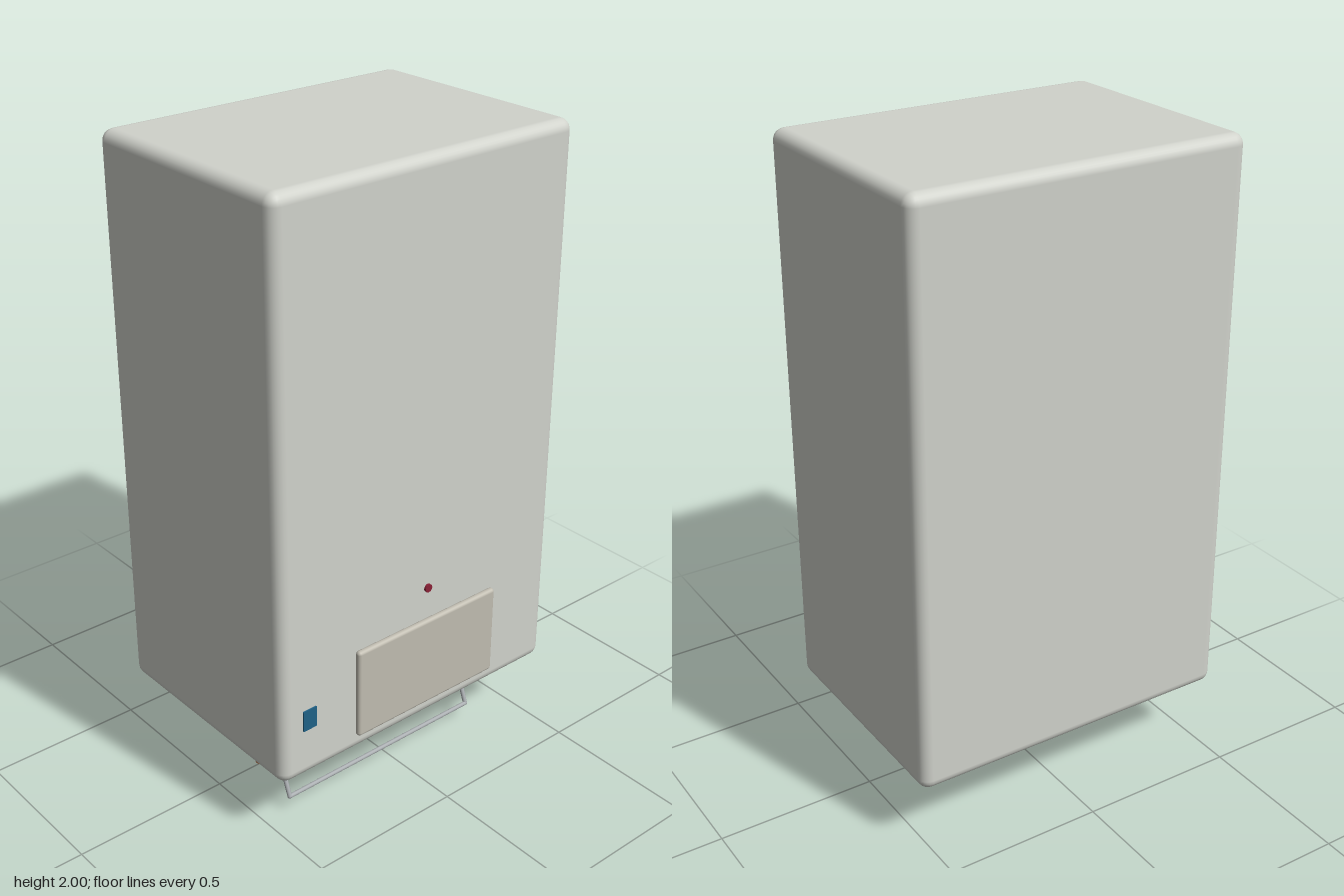
import * as THREE from 'three';
import { RoundedBoxGeometry } from 'three/addons/geometries/RoundedBoxGeometry.js';

const mat = (color) => new THREE.MeshStandardMaterial({ color });

export function createModel() {
  const group = new THREE.Group();
  const white = mat(0xd0d2cb), beige = mat(0xc0bcb0), copper = mat(0xb87348);
  const steel = mat(0xa9adb0), blue = mat(0x1f6187), red = mat(0x8a2036);

  const add = (name, geometry, material, x, y, z, parent = group) => {
    const mesh = new THREE.Mesh(geometry, material);
    mesh.name = name;
    mesh.position.set(x, y, z);
    parent.add(mesh);
    return mesh;
  };

  // Casing with softly rounded edges
  add('casing', new RoundedBoxGeometry(1.064, 1.775, 0.764, 3, 0.035), white, 0, 1.1125, -0.017);

  // Front details, standing slightly proud of the casing
  add('controlPanel', new RoundedBoxGeometry(0.544, 0.296, 0.022, 3, 0.0105), beige, 0, 0.447, 0.388);
  add('badge', new THREE.BoxGeometry(0.048, 0.068, 0.004), blue, -0.437, 0.433, 0.375);
  add('indicatorLight', new THREE.CylinderGeometry(0.013, 0.013, 0.007, 20), red, 0, 0.702, 0.389)
    .rotation.x = Math.PI / 2;

  // Copper pipes with union nuts
  const pipeGeo = new THREE.CylinderGeometry(0.019, 0.019, 0.2, 24);
  const nutGeo = new THREE.LatheGeometry([
    [0, -0.025], [0.028, -0.025], [0.028, -0.025], [0.034, -0.019], [0.034, -0.019],
    [0.034, 0.019], [0.034, 0.019], [0.028, 0.025], [0.028, 0.025], [0, 0.025],
  ].map(([x, y]) => new THREE.Vector2(x, y)), 24);
  [-0.33, -0.166, 0.079, 0.27].forEach((x) => {
    const pipe = new THREE.Group();
    pipe.name = 'pipe';
    group.add(pipe);
    add('pipeTube', pipeGeo, copper, x, 0.1, -0.007, pipe);
    add('pipeNut', nutGeo, steel, x, 0.095, -0.007, pipe);
  });

  // Tilted wire bracket under the casing
  const bracket = new THREE.Group();
  bracket.name = 'wireBracket';
  group.add(bracket);
  const rod = (name, a, b) => {
    const dir = b.clone().sub(a);
    const mesh = add(name, new THREE.CylinderGeometry(0.007, 0.007, dir.length(), 12), steel, 0, 0, 0, bracket);
    mesh.position.copy(a).add(b).multiplyScalar(0.5);
    mesh.quaternion.setFromUnitVectors(new THREE.Vector3(0, 1, 0), dir.normalize());
  };
  const [left, right] = [0.325, -0.41];
  for (const x of [left, right]) {
    rod('bracketArm', new THREE.Vector3(x, 0.235, 0.17), new THREE.Vector3(x, 0.054, 0.239));
    add('bracketCorner', new THREE.SphereGeometry(0.007, 12, 8), steel, x, 0.054, 0.239, bracket);
  }
  rod('bracketBar', new THREE.Vector3(right, 0.054, 0.239), new THREE.Vector3(left, 0.054, 0.239));

  return group;
}
